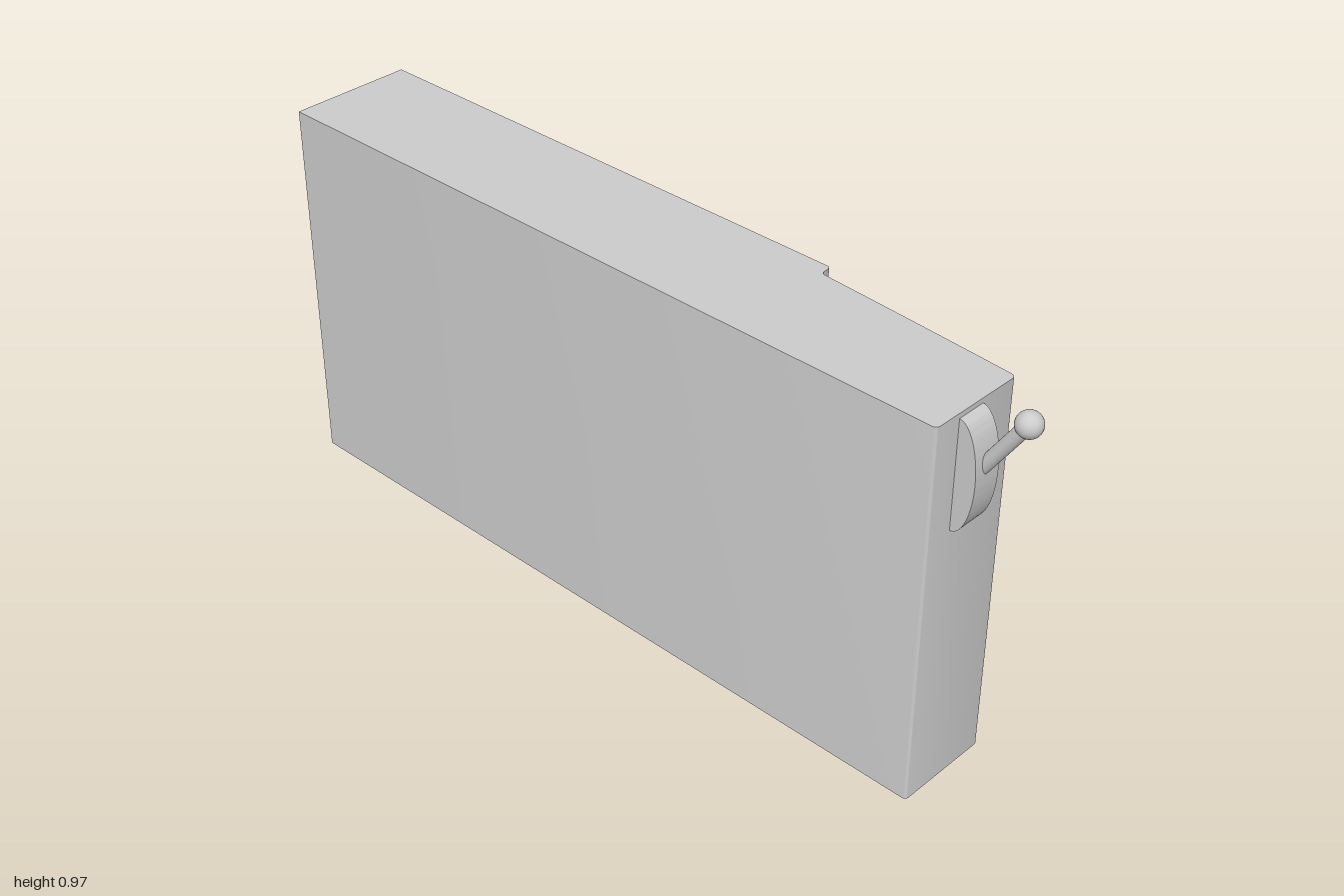
import * as THREE from 'three';
import { toCreasedNormals } from 'three/addons/utils/BufferGeometryUtils.js';

const HEIGHT = 0.925;
const LEVER_X = -0.05;

function addMesh(group, name, geometry, side = THREE.FrontSide) {
  const mesh = new THREE.Mesh(geometry, new THREE.MeshStandardMaterial({ color: 0xcccccc, side }));
  mesh.name = name;
  group.add(mesh);
  return mesh;
}

// Open outline of the cover in plan, drawn as (x, -z)
function coverOutline() {
  const s = new THREE.Shape();
  s.moveTo(0.153, -0.055);
  s.lineTo(0.153, -0.322);
  s.quadraticCurveTo(0.153, -0.332, 0.143, -0.333); // step, outer corner
  s.lineTo(0.131, -0.334);
  s.quadraticCurveTo(0.122, -0.335, 0.121, -0.346); // step, inner corner
  s.quadraticCurveTo(0.106, -0.59, 0.088, -0.832); // tapered side
  s.quadraticCurveTo(0.087, -0.845, 0.075, -0.845);
  s.lineTo(-0.143, -0.845);
  s.quadraticCurveTo(-0.155, -0.845, -0.155, -0.833);
  s.lineTo(-0.155, 1);
  s.lineTo(0.153, 1);
  return s;
}

// Upright thin wall following the points of a plan outline
function wallGeometry(points, height) {
  const pos = [];
  for (let i = 0; i < points.length - 1; i++) {
    const a = points[i], b = points[i + 1];
    const a0 = [a.x, 0, -a.y], a1 = [a.x, height, -a.y];
    const b0 = [b.x, 0, -b.y], b1 = [b.x, height, -b.y];
    pos.push(...a0, ...a1, ...b1, ...a0, ...b1, ...b0);
  }
  const g = new THREE.BufferGeometry();
  g.setAttribute('position', new THREE.Float32BufferAttribute(pos, 3));
  return toCreasedNormals(g, 0.6);
}

export function createModel() {
  const model = new THREE.Group();
  model.name = 'switchCover';

  // Thin cover: open underneath and along the rear of its left side
  const outline = coverOutline();
  addMesh(model, 'coverWalls', wallGeometry(outline.getPoints(8), HEIGHT), THREE.DoubleSide);
  const top = new THREE.ShapeGeometry(outline, 8);
  top.rotateX(-Math.PI / 2).translate(0, HEIGHT, 0);
  addMesh(model, 'coverTop', top, THREE.DoubleSide);

  // Lever on the front
  const lever = new THREE.Group();
  lever.name = 'lever';
  lever.position.x = LEVER_X;
  model.add(lever);

  // Half-oval mount, extruded across x
  const oval = new THREE.Shape();
  oval.absellipse(0, 0, 0.048, 0.129, -Math.PI / 2, Math.PI / 2, false, 0);
  const mount = new THREE.ExtrudeGeometry(oval, { depth: 0.072, bevelEnabled: false, curveSegments: 28 });
  mount.translate(0, 0, -0.036).rotateY(-Math.PI / 2);
  const mountMesh = addMesh(lever, 'leverMount', toCreasedNormals(mount, 0.6));
  mountMesh.position.set(0, 0.784, 0.845);

  // Slanted rod ending in a ball
  const tip = new THREE.Vector3(0, 0.943, 0.973);
  const foot = new THREE.Vector3(0, 0.787, 0.87);
  const dir = tip.clone().sub(foot);
  const rod = addMesh(lever, 'leverRod', new THREE.CylinderGeometry(0.0155, 0.0155, dir.length(), 24));
  rod.position.copy(foot).lerp(tip, 0.5);
  rod.quaternion.setFromUnitVectors(new THREE.Vector3(0, 1, 0), dir.normalize());

  const ball = addMesh(lever, 'leverBall', new THREE.SphereGeometry(0.028, 28, 18));
  ball.position.copy(tip);

  return model;
}
